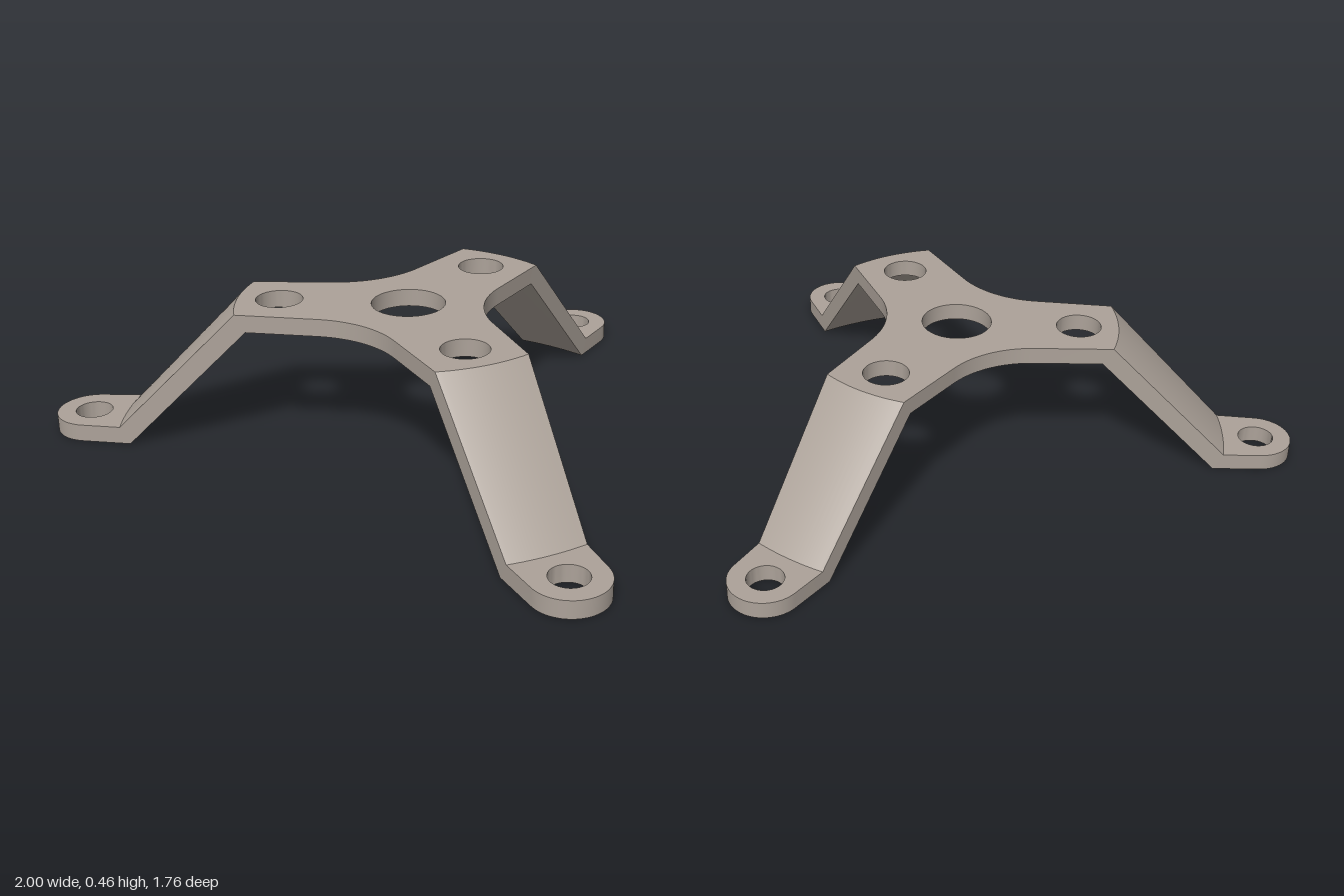
import * as THREE from 'three';
import { mergeGeometries, toCreasedNormals } from 'three/addons/utils/BufferGeometryUtils.js';

// Three-armed bracket: tapered arms radiate from a hub, fold down a cone, and end in flat feet.
// Plan coordinates: x across the arm, y outward along the arm.
const CENTRE_Z = 0.255;
const TOP = 0.455, UNDER = 0.4, FOOT_TOP = 0.055;
const BEND = { top: 0.53, under: 0.5 };      // radius where the hub folds down
const TOE = { top: 0.91, under: 0.88 };      // radius where the foot flattens out
const FOOT_AT = 1.02, FOOT_R = 0.116, FILLET_R = 0.32;
const TAPER = 0.056, SLANT = Math.atan(TAPER);
const THIRD = Math.PI * 2 / 3;
const METAL = new THREE.MeshStandardMaterial({ color: 0xaca299 });

const halfWidth = u => FOOT_R / Math.cos(SLANT) + TAPER * (FOOT_AT - u);
const lift = (pts, y) => pts.map(p => new THREE.Vector3(p.x, y, -p.y));
const mirror = pts => pts.map(p => new THREE.Vector2(-p.x, p.y)).reverse();
const spin = (pts, a) => pts.map(p => p.clone().rotateAround(new THREE.Vector2(), a));

function arc(cx, cy, r, from, to, n) {
  return Array.from({ length: n + 1 }, (_, i) => {
    const a = from + (to - from) * i / n;
    return new THREE.Vector2(cx + r * Math.cos(a), cy + r * Math.sin(a));
  });
}

// Arc about the hub centre, spanning the arm from its right edge to its left edge
function crossArc(r) {
  let u = r;
  for (let i = 0; i < 20; i++) u = Math.sqrt(r * r - halfWidth(u) ** 2);
  const a = Math.atan2(u, halfWidth(u));
  return arc(0, 0, r, a, Math.PI - a, 16);
}

// Rounded inner corner, from the line between two arms to the arm's right edge
function fillet() {
  const corner = halfWidth(0) / (Math.sin(Math.PI / 3) + TAPER / 2);
  const d = corner + FILLET_R / Math.sin(Math.PI / 3 + SLANT);
  return arc(d * Math.sin(Math.PI / 3), d / 2, FILLET_R, Math.PI * 7 / 6, Math.PI + SLANT, 10);
}

const hole = (x, y, r) => arc(x, y, r, Math.PI * 2, 0, 48);

// Wall between two point rows, facing right of the direction of travel
function strip(lower, upper) {
  const pts = [];
  for (let i = 0; i < lower.length - 1; i++) {
    pts.push(lower[i], lower[i + 1], upper[i + 1], lower[i], upper[i + 1], upper[i]);
  }
  return new THREE.BufferGeometry().setFromPoints(pts);
}

// Flat skin with holes, facing up or down
function skin(outline, holes, y, down) {
  const shape = new THREE.Shape(outline);
  shape.holes = holes.map(h => new THREE.Path(h));
  const flat = new THREE.ShapeGeometry(shape).toNonIndexed();
  const pos = flat.attributes.position, pts = [];
  for (let i = 0; i < pos.count; i += 3) {
    for (const k of down ? [0, 2, 1] : [0, 1, 2]) {
      pts.push(new THREE.Vector3(pos.getX(i + k), y, -pos.getY(i + k)));
    }
  }
  return new THREE.BufferGeometry().setFromPoints(pts);
}

function part(name, pieces) {
  const mesh = new THREE.Mesh(toCreasedNormals(mergeGeometries(pieces), 0.5), METAL);
  mesh.name = name;
  return mesh;
}

function hub() {
  const corner = fillet();
  const holes = [hole(0, 0, 0.114)];
  const outline = { top: [], under: [] };
  const walls = [];
  for (let k = 0; k < 3; k++) {
    holes.push(spin(hole(0, 0.4, 0.073), k * THIRD));
    for (const side of ['top', 'under']) {
      const sector = [...corner, ...crossArc(BEND[side]), ...mirror(corner).slice(0, -1)];
      outline[side].push(...spin(sector, k * THIRD));
    }
    // Edge walls stop at the fold, where the arm continues
    const edge = side => [...corner, crossArc(BEND[side])[0]];
    const wall = f => strip(lift(spin(f(edge('under')), k * THIRD), UNDER), lift(spin(f(edge('top')), k * THIRD), TOP));
    walls.push(wall(p => p), wall(mirror));
  }
  return part('hubPlate', [
    skin(outline.top, holes, TOP, false),
    skin(outline.under, holes, UNDER, true),
    ...walls,
    ...holes.map(h => strip(lift(h, UNDER), lift(h, TOP))),
  ]);
}

function slopedArm() {
  const inTop = lift(crossArc(BEND.top), TOP), outTop = lift(crossArc(TOE.top), FOOT_TOP);
  const inUnder = lift(crossArc(BEND.under), UNDER), outUnder = lift(crossArc(TOE.under), 0);
  return part('slopedArm', [
    strip(outTop, inTop),
    strip(inUnder, outUnder),
    strip([inUnder[0], outUnder[0]], [inTop[0], outTop[0]]),
    strip([outUnder.at(-1), inUnder.at(-1)], [outTop.at(-1), inTop.at(-1)]),
  ]);
}

function foot() {
  const tip = arc(0, FOOT_AT, FOOT_R, SLANT, Math.PI - SLANT, 32);
  const bolt = hole(0, FOOT_AT, 0.058);
  const edge = r => { const c = crossArc(r); return [c[0], ...tip, c.at(-1)]; };
  const outline = r => [...edge(r), ...crossArc(r).reverse().slice(1, -1)];
  return part('foot', [
    skin(outline(TOE.top), [bolt], FOOT_TOP, false),
    skin(outline(TOE.under), [bolt], 0, true),
    strip(lift(edge(TOE.under), 0), lift(edge(TOE.top), FOOT_TOP)),
    strip(lift(bolt, 0), lift(bolt, FOOT_TOP)),
  ]);
}

export function createModel() {
  const model = new THREE.Group();
  model.name = 'threeArmBracket';
  model.position.z = CENTRE_Z;
  model.add(hub());
  ['back', 'right', 'left'].forEach((name, k) => {
    const leg = new THREE.Group();
    leg.name = name + 'Leg';
    leg.rotation.y = k * THIRD;
    leg.add(slopedArm(), foot());
    model.add(leg);
  });
  // Outer group keeps the bracket centred
  const root = new THREE.Group();
  root.name = 'bracket';
  root.add(model);
  return root;
}
